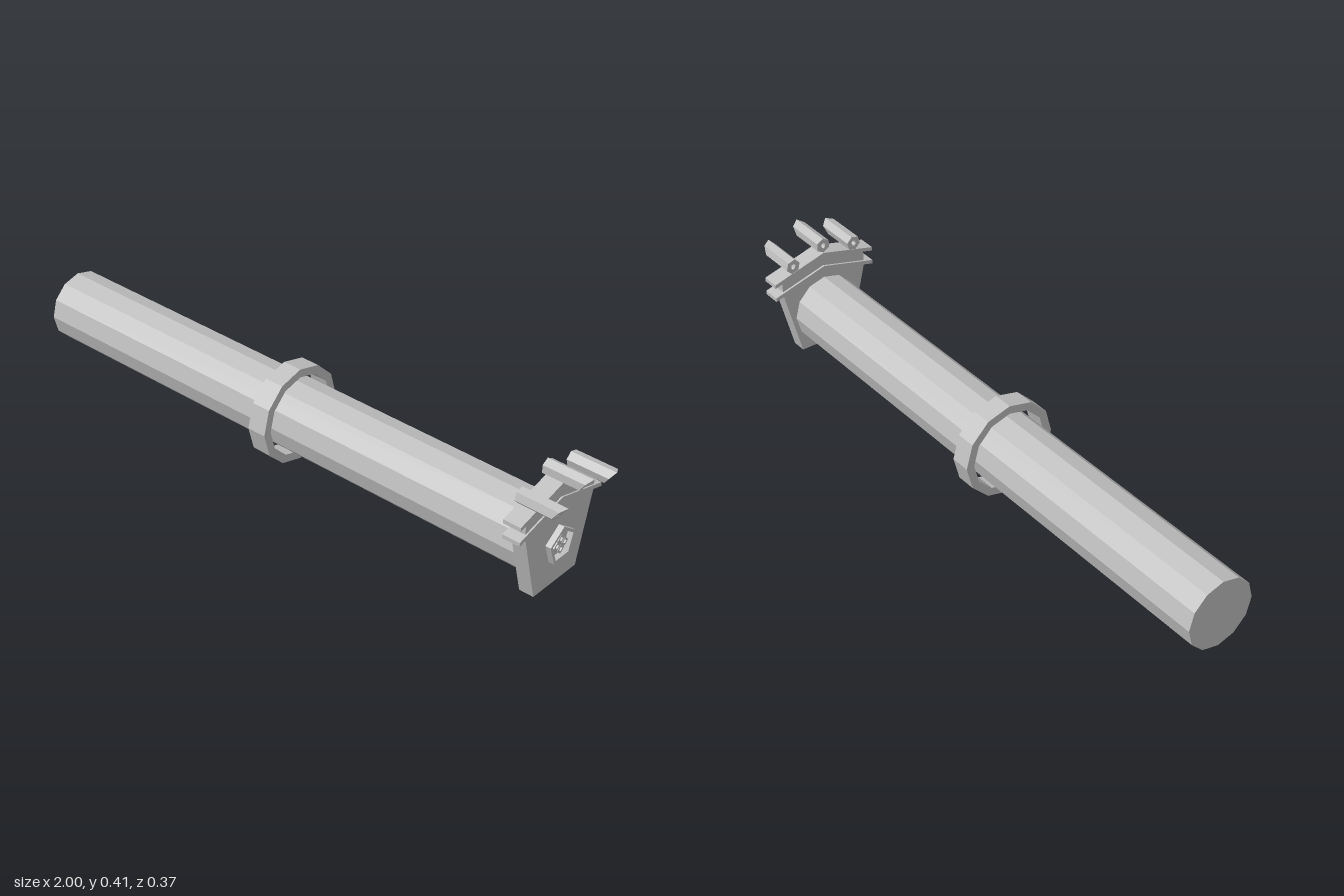
import * as THREE from 'three';

export function createModel() {
  const model = new THREE.Group();
  model.name = 'roofedTube';
  const grey = new THREE.MeshStandardMaterial({ color: 0xc0c0c0 });
  grey.name = 'grey';

  // Corner points of a regular polygon, first corner pointing up
  const ngon = (n, rx, ry = rx, cx = 0, cy = 0) =>
    Array.from({ length: n }, (_, i) => {
      const a = Math.PI / 2 + (i * 2 * Math.PI) / n;
      return new THREE.Vector2(cx + rx * Math.cos(a), cy + ry * Math.sin(a));
    });
  const pts = (list) => list.map(([u, v]) => new THREE.Vector2(u, v));

  // Prism running along x, its outline drawn as seen from +x
  function prism(outline, x0, x1, hole, endRule) {
    const shape = new THREE.Shape(outline);
    if (hole) shape.holes.push(new THREE.Path(hole));
    const geo = new THREE.ExtrudeGeometry(shape, { depth: x1 - x0, bevelEnabled: false });
    if (endRule) {
      const p = geo.attributes.position;
      for (let i = 0; i < p.count; i++) {
        if (p.getZ(i) > 1e-4) p.setZ(i, p.getZ(i) + endRule(p.getY(i)));
      }
      geo.computeVertexNormals();
    }
    geo.translate(0, 0, x0);
    geo.rotateY(Math.PI / 2);
    return geo;
  }
  function add(name, geo) {
    const mesh = new THREE.Mesh(geo, grey);
    mesh.name = name;
    model.add(mesh);
    return mesh;
  }

  // Long twelve-sided tube and the loose ring around it
  const cy = 0.157;
  add('mainTube', prism(ngon(12, 0.113, 0.113, 0, cy), -1, 0.86));
  add('middleRing', prism(ngon(12, 0.157, 0.157, 0, cy), -0.1, -0.036,
    ngon(12, 0.13, 0.13, 0, cy)));

  // Gabled end plate with a second gable block above it
  add('endPlate', prism(pts([[-0.096, 0.028], [0.096, 0.028], [0.155, 0.26],
    [0, 0.302], [-0.155, 0.26]]), 0.855, 0.903));
  add('upperGable', prism(pts([[-0.155, 0.265], [0, 0.306], [0.155, 0.265],
    [0.155, 0.31], [0, 0.352], [-0.155, 0.31]]), 0.857, 0.903));

  // Two thin pitched roofs
  [['lowerRoof', 0.251], ['upperRoof', 0.3]].forEach(([name, y]) => {
    add(name, prism(pts([[-0.185, y], [0, y + 0.049], [0.185, y],
      [0.185, y + 0.013], [0, y + 0.062], [-0.185, y + 0.013]]), 0.85, 0.908));
  });

  // Pentagon frame holding four hollow diamonds
  const ey = 0.161;
  add('pentagonFrame', prism(ngon(5, 0.06, 0.06, 0, ey), 0.9, 0.921,
    ngon(5, 0.049, 0.049, 0, ey)));
  for (const [u, v] of [[0, 1], [1, 0], [0, -1], [-1, 0]]) {
    const c = [u * 0.017, ey - 0.001 + v * 0.017];
    add('diamond', prism(ngon(4, 0.0155, 0.0155, ...c), 0.9, 0.915,
      ngon(4, 0.0075, 0.0075, ...c)));
  }

  // Three hollow hexagonal ridge billets with undercut ends
  const undercut = (v) => (v > 0 ? v * 1.0 : v * 0.4);
  for (const [name, side, y] of [['rightBillet', -1, 0.355], ['centreBillet', 0, 0.389],
    ['leftBillet', 1, 0.355]]) {
    const billet = add(name, prism(ngon(6, 0.025), 0.85, 0.975, ngon(6, 0.008, 0.01), undercut));
    billet.position.set(0, y, side * 0.115);
    billet.rotation.x = -side * Math.PI / 12;
  }
  return model;
}
